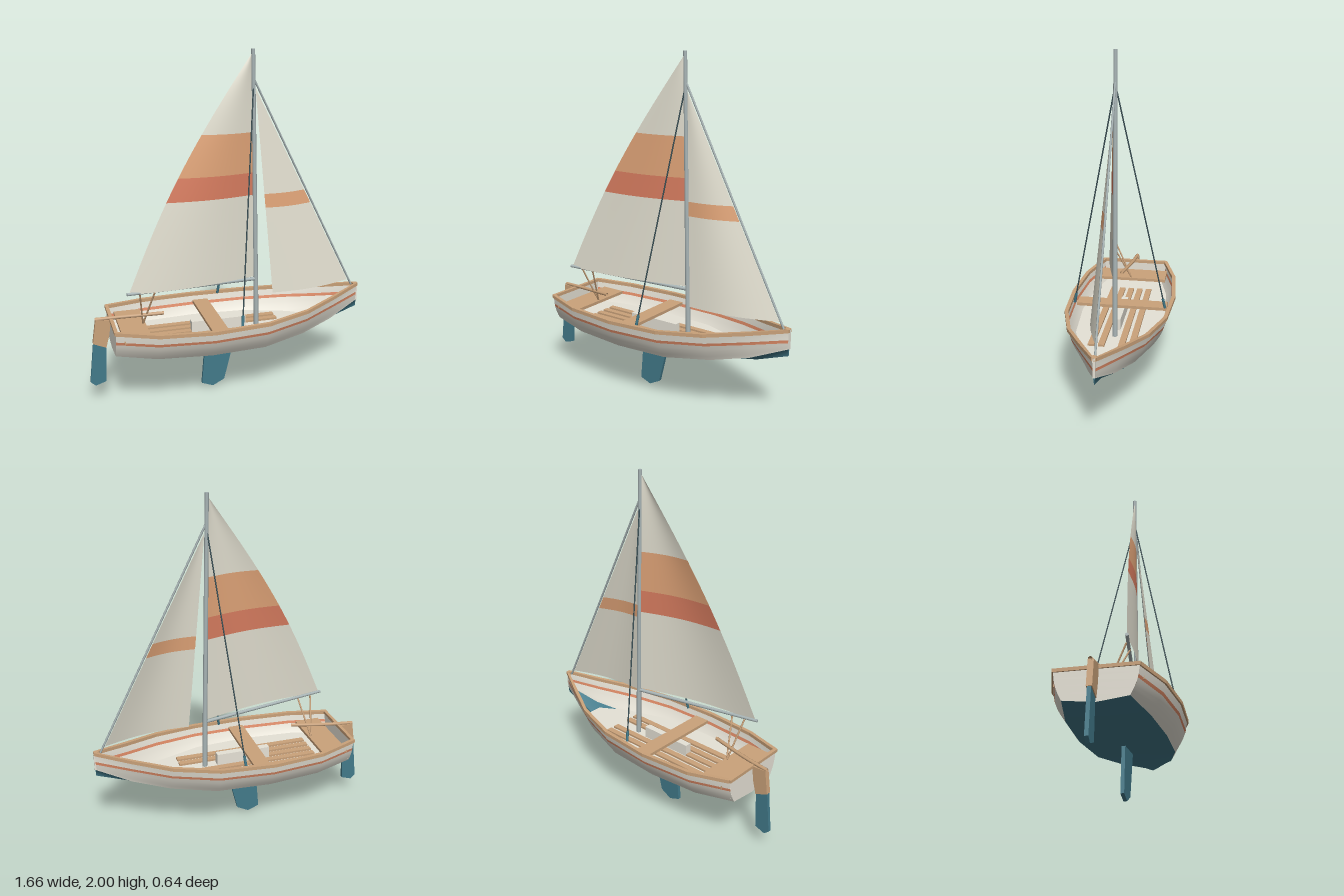
import * as THREE from 'three';

const V = (x, y, z) => new THREE.Vector3(x, y, z);
const lerp = THREE.MathUtils.lerp;
const mat = (name, color) => {
  const m = new THREE.MeshStandardMaterial({ color, side: THREE.DoubleSide });
  m.name = name;
  return m;
};

export function createModel() {
  const white = mat('hull white', 0xe6e2d6);
  const sail = mat('sail cloth', 0xe2dfd0);
  const wood = mat('wood', 0xcaa27a);
  const teal = mat('teal paint', 0x427a8a);
  const stripe = mat('stripe orange', 0xdc8a66);
  const bandTan = mat('sail band tan', 0xe0a478);
  const bandRed = mat('sail band red', 0xd87d60);
  const metal = mat('spar metal', 0xa9b5b6);
  const dark = mat('rigging dark', 0x3a5056);

  const boat = new THREE.Group();
  boat.name = 'sailingDinghy';
  const add = (name, geometry, material) => {
    const m = new THREE.Mesh(geometry, material);
    m.name = name;
    boat.add(m);
    return m;
  };

  // Skin a grid of points, row by row
  const loft = (name, rows, material, flat = false) => {
    const n = rows[0].length, index = [];
    for (let i = 0; i < rows.length - 1; i++)
      for (let j = 0; j < n - 1; j++) {
        const a = i * n + j, b = a + n;
        index.push(a, b, a + 1, b, b + 1, a + 1);
      }
    let g = new THREE.BufferGeometry().setFromPoints(rows.flat());
    g.setIndex(index);
    if (flat) g = g.toNonIndexed();
    g.computeVertexNormals();
    return add(name, g, material);
  };
  const box = (name, x0, x1, y0, y1, z0, z1, material) => add(name,
    new THREE.BoxGeometry(x1 - x0, y1 - y0, z1 - z0)
      .translate((x0 + x1) / 2, (y0 + y1) / 2, (z0 + z1) / 2), material);
  const rod = (name, a, b, r0, r1, material, sides = 8) => {
    const m = add(name, new THREE.CylinderGeometry(r1, r0, a.distanceTo(b), sides), material);
    m.position.copy(a).lerp(b, 0.5);
    m.quaternion.setFromUnitVectors(V(0, 1, 0), b.clone().sub(a).normalize());
    return m;
  };
  // Upright board with an outline in x and y
  const board = (name, pts, depth, material) => add(name,
    new THREE.ExtrudeGeometry(new THREE.Shape(pts.map(p => new THREE.Vector2(...p))),
      { depth, bevelEnabled: false }).translate(0, 0, -depth / 2), material);

  // Hull stations: x, sheer z, sheer y, chine z, chine y, keel y
  const stations = [
    [-0.70, 0.210, 0.500, 0.165, 0.350, 0.330],
    [-0.47, 0.285, 0.488, 0.215, 0.325, 0.295],
    [-0.16, 0.312, 0.484, 0.235, 0.316, 0.281],
    [0.16, 0.292, 0.490, 0.220, 0.320, 0.285],
    [0.42, 0.220, 0.509, 0.150, 0.345, 0.310],
    [0.63, 0.112, 0.534, 0.070, 0.385, 0.350],
    [0.825, 0.006, 0.562, 0.005, 0.460, 0.420]
  ];
  // Point on the topside, t = 0 at the sheer and 1 at the chine
  const topside = (s, t, side) => V(s[0],
    lerp(s[2], s[4], t), side * (lerp(s[1], s[3], t) + 0.07 * s[3] * Math.sin(Math.PI * t)));
  const drop = (s, d) => d / (s[2] - s[4]);

  for (const side of [1, -1]) {
    const tag = side > 0 ? 'Left' : 'Right';
    const band = (name, from, to, n, material) => loft(name + tag, stations.map(s =>
      Array.from({ length: n + 1 }, (_, i) => topside(s, lerp(from(s), to(s), i / n), side))), material);
    band('upperTopside', () => 0, s => drop(s, 0.049), 1, white);
    band('hullStripe', s => drop(s, 0.049), s => drop(s, 0.066), 1, stripe);
    band('lowerTopside', s => drop(s, 0.066), () => 1, 4, white);
    loft('hullBottom' + tag, stations.map(s =>
      [V(s[0], s[4], side * s[3]), V(s[0], s[5], 0)]), teal);
    // Wooden rail with a square section
    loft('gunwale' + tag, stations.map(s => {
      const o = side * (s[1] + 0.008), i = side * Math.max(s[1] - 0.014, 0);
      return [[o, -0.008], [o, 0.012], [i, 0.012], [i, -0.008], [o, -0.008]]
        .map(([z, dy]) => V(s[0], s[2] + dy, z));
    }), wood, true);

    // Shroud with its fitting
    const foot = V(0.005, 0.49, side * 0.272), head = V(0.145, 1.82, 0);
    rod('shroud' + tag, foot, head, 0.004, 0.004, dark, 6);
    rod('shroudFitting' + tag, foot, foot.clone().lerp(head, 0.045), 0.008, 0.008, teal, 6);
  }
  // Stern panel and its cap
  const half = side => [0, 0.25, 0.5, 0.75, 1].map(t => topside(stations[0], t, side))
    .concat(V(-0.70, 0.33, 0));
  loft('transom', [half(1), half(-1)], white);
  box('transomCap', -0.708, -0.688, 0.494, 0.512, -0.215, 0.215, wood);
  box('stem', 0.815, 0.83, 0.46, 0.572, -0.007, 0.007, white);
  box('stemCap', 0.80, 0.83, 0.556, 0.574, -0.012, 0.012, wood);

  // Cockpit
  const sole = [[-0.69, 0.18], [-0.47, 0.235], [-0.16, 0.258], [0.16, 0.235], [0.42, 0.145], [0.58, 0.045]];
  loft('cockpitSole', sole.map(([x, z]) => [V(x, 0.37, z), V(x, 0.37, -z)]), white);
  for (const z of [-0.115, -0.057, 0, 0.057, 0.115])
    box('floorSlat', -0.51, z ? 0.32 : -0.23, 0.37, 0.382, z - 0.018, z + 0.018, wood);
  box('centreboardCase', -0.23, 0.10, 0.37, 0.44, -0.02, 0.02, white);
  box('thwart', -0.155, -0.06, 0.44, 0.458, -0.275, 0.275, wood);
  box('sternSeat', -0.655, -0.50, 0.44, 0.458, -0.222, 0.222, wood);

  // Centreboard, rudder and tiller
  board('centreboard', [[-0.145, 0.30], [-0.168, 0.03], [-0.10, 0.004], [-0.03, 0.04], [0.035, 0.30]], 0.02, teal);
  board('rudderBlade', [[-0.806, 0.37], [-0.832, 0.13], [-0.803, 0.105], [-0.742, 0.125], [-0.733, 0.34]], 0.02, teal);
  board('rudderHead', [[-0.808, 0.37], [-0.788, 0.51], [-0.702, 0.505], [-0.712, 0.42], [-0.733, 0.338]], 0.03, wood);
  const tiller = new THREE.CatmullRomCurve3(
    [V(-0.79, 0.512, -0.003), V(-0.65, 0.517, 0.01), V(-0.52, 0.523, 0.03), V(-0.40, 0.53, 0.05)]);
  add('tiller', new THREE.TubeGeometry(tiller, 8, 0.011, 6), wood);

  // Spars and standing rigging
  const mastX = y => 0.1827 - 0.0213 * y;
  rod('mast', V(mastX(0.37), 0.37, 0), V(mastX(2), 2, 0), 0.015, 0.011, metal, 10);
  const boomEnd = V(-0.62, 0.695, 0.13);
  rod('boom', V(mastX(0.665), 0.665, 0), boomEnd, 0.011, 0.009, metal);
  rod('forestay', V(0.15, 1.83, 0), V(0.79, 0.565, 0), 0.006, 0.006, metal, 6);
  for (const x of [-0.545, -0.46])
    rod('mainsheet', V(-0.515, 0.455, 0), V(x, 0.685, 0.11), 0.005, 0.005, wood, 6);

  // Mainsail: u runs from luff to leech, with a rounded leech and a belly
  const mainPoint = (y, u) => {
    const t = (y - 0.69) / (1.975 - 0.69);
    const luff = mastX(y) - 0.01;
    const leech = lerp(-0.61, 0.132, t) - 0.057 * Math.sin(Math.PI * t);
    return V(lerp(luff, leech, u), y - (1 - t) * 0.01 * (1 - u),
      0.128 * (1 - t) * u + 0.035 * Math.sin(Math.PI * u) * Math.sqrt(Math.max(1 - t, 0)));
  };
  // Jib: u runs from the stay to the leech
  const jibPoint = (y, u) => {
    const t = (y - 0.60) / (1.78 - 0.60);
    return V(lerp(lerp(0.762, 0.16, t), lerp(0.245, 0.157, t), u), y,
      (0.09 * u + 0.035 * Math.sin(Math.PI * u)) * (1 - t));
  };
  const sailBand = (name, point, y0, y1, n, material) => loft(name,
    Array.from({ length: n + 1 }, (_, i) => Array.from({ length: 13 }, (_, j) =>
      point(lerp(y0, y1, i / n), j / 12))), material);
  sailBand('mainsailLower', mainPoint, 0.69, 1.185, 8, sail);
  sailBand('mainsailRedBand', mainPoint, 1.185, 1.315, 3, bandRed);
  sailBand('mainsailTanBand', mainPoint, 1.315, 1.545, 4, bandTan);
  sailBand('mainsailUpper', mainPoint, 1.545, 1.975, 8, sail);
  sailBand('jibLower', jibPoint, 0.60, 1.11, 6, sail);
  sailBand('jibBand', jibPoint, 1.11, 1.19, 2, bandTan);
  sailBand('jibUpper', jibPoint, 1.19, 1.78, 6, sail);

  return boat;
}
